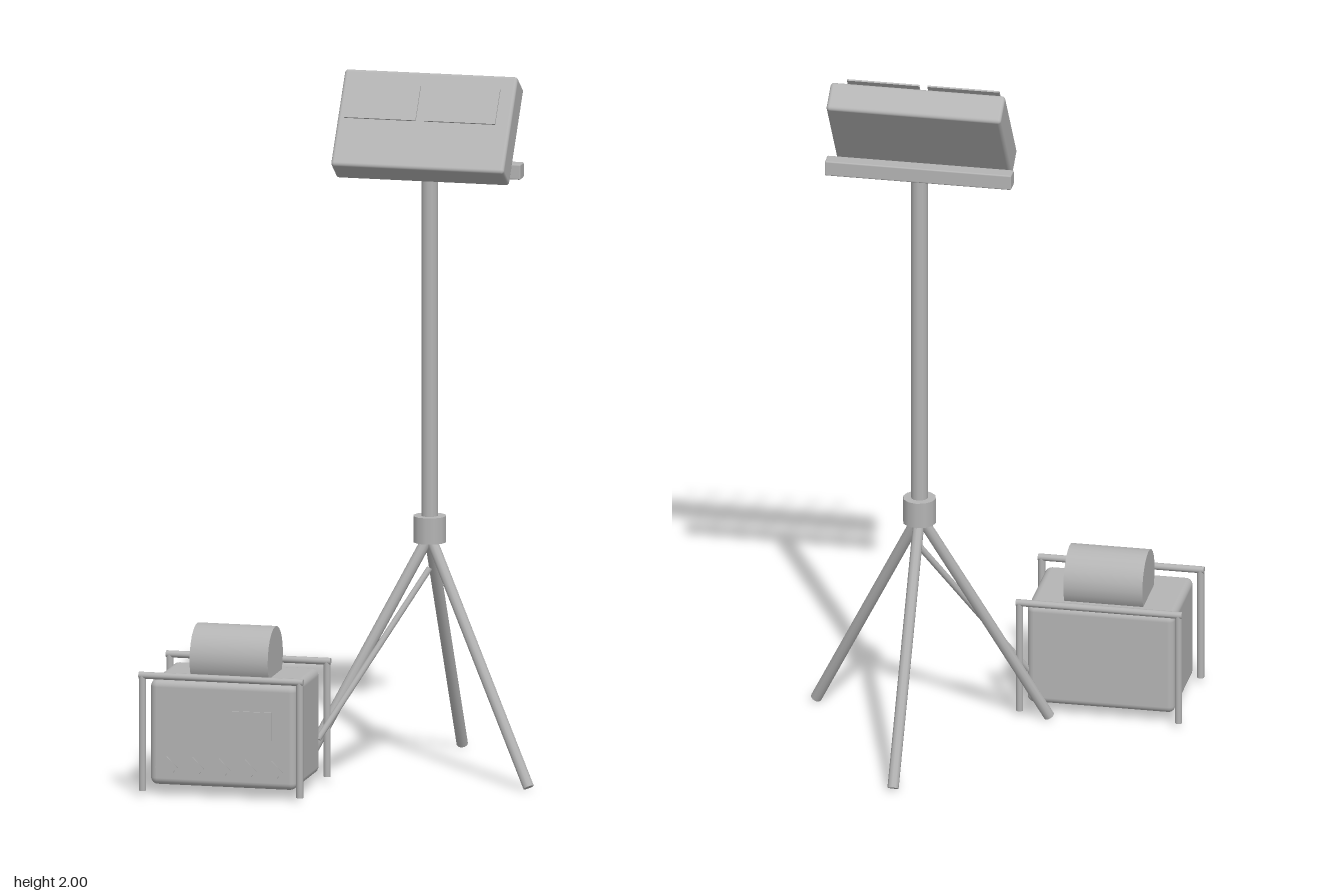
import * as THREE from 'three';
import { RoundedBoxGeometry } from 'three/addons/geometries/RoundedBoxGeometry.js';

export function createModel() {
  const model = new THREE.Group();
  model.name = 'floodlightWithGenerator';
  const grey = new THREE.MeshStandardMaterial({ color: 0xb4b4b4 });
  grey.name = 'grey';

  const add = (parent, name, geometry, x = 0, y = 0, z = 0) => {
    const mesh = new THREE.Mesh(geometry, grey);
    mesh.name = name;
    mesh.position.set(x, y, z);
    parent.add(mesh);
    return mesh;
  };
  // Round bar between two points
  const bar = (parent, name, from, to, radius, sides = 10) => {
    const a = new THREE.Vector3(...from), b = new THREE.Vector3(...to);
    const dir = b.clone().sub(a);
    const mesh = add(parent, name, new THREE.CylinderGeometry(radius, radius, dir.length(), sides));
    mesh.position.copy(a).add(b).multiplyScalar(0.5);
    mesh.quaternion.setFromUnitVectors(new THREE.Vector3(0, 1, 0), dir.normalize());
    return mesh;
  };

  // Tripod: mast, collar and three splayed legs
  const X = 0.182, Z = -0.07;
  const stand = new THREE.Group();
  stand.name = 'stand';
  model.add(stand);
  bar(stand, 'mast', [X, 0.66, Z], [X, 1.73, Z], 0.024, 12);
  add(stand, 'collar', new THREE.CylinderGeometry(0.047, 0.047, 0.075, 12), X, 0.698, Z);
  for (let i = 0; i < 3; i++) {
    const a = Math.PI + i * Math.PI * 2 / 3;
    bar(stand, 'leg', [X, 0.68, Z],
      [X + Math.sin(a) * 0.385, 0.009, Z + Math.cos(a) * 0.385], 0.016);
  }
  add(stand, 'crossbar', new RoundedBoxGeometry(0.534, 0.044, 0.044, 2, 0.004), X, 1.733, -0.073);

  // Lamp head, tilted back, with two glass plates standing off its face
  const lamp = new THREE.Group();
  lamp.name = 'lampHead';
  lamp.position.set(X, 1.852, -0.04);
  lamp.rotation.x = -THREE.MathUtils.degToRad(35.5);
  model.add(lamp);
  add(lamp, 'lampHousing', new RoundedBoxGeometry(0.5, 0.3, 0.09, 3, 0.01));
  for (const side of [-1, 1]) {
    add(lamp, 'lampGlass', new THREE.BoxGeometry(0.206, 0.108, 0.005), side * 0.115, 0.031, 0.092);
  }

  // Generator body and fuel tank
  const generator = new THREE.Group();
  generator.name = 'generator';
  model.add(generator);
  add(generator, 'generatorBody', new RoundedBoxGeometry(0.422, 0.3, 0.29, 3, 0.02), -0.292, 0.18, 0.296);
  const tank = add(generator, 'fuelTank', new THREE.CylinderGeometry(0.09, 0.09, 0.226, 24), -0.292, 0.377, 0.279);
  tank.rotation.z = Math.PI / 2;

  // Control panel and row of sockets on the front
  add(generator, 'controlPanel', new THREE.BoxGeometry(0.12, 0.08, 0.009), -0.21, 0.212, 0.441);
  for (let i = 0; i < 5; i++) {
    const socket = add(generator, 'socket', new THREE.CylinderGeometry(0.033, 0.033, 0.009, 4),
      -0.454 + i * 0.076, 0.082, 0.441);
    socket.rotation.x = Math.PI / 2;
  }

  // Tubular guard frames, front and back
  for (const z of [0.132, 0.455]) {
    bar(generator, 'guardRail', [-0.53, 0.345, z], [-0.055, 0.345, z], 0.01);
    for (const x of [-0.52, -0.065]) bar(generator, 'guardPost', [x, 0.015, z], [x, 0.345, z], 0.01);
  }

  // Power cable from the stand down to the generator
  bar(model, 'cable', [X, 0.585, Z], [-0.083, 0.128, 0.165], 0.009);

  return model;
}
